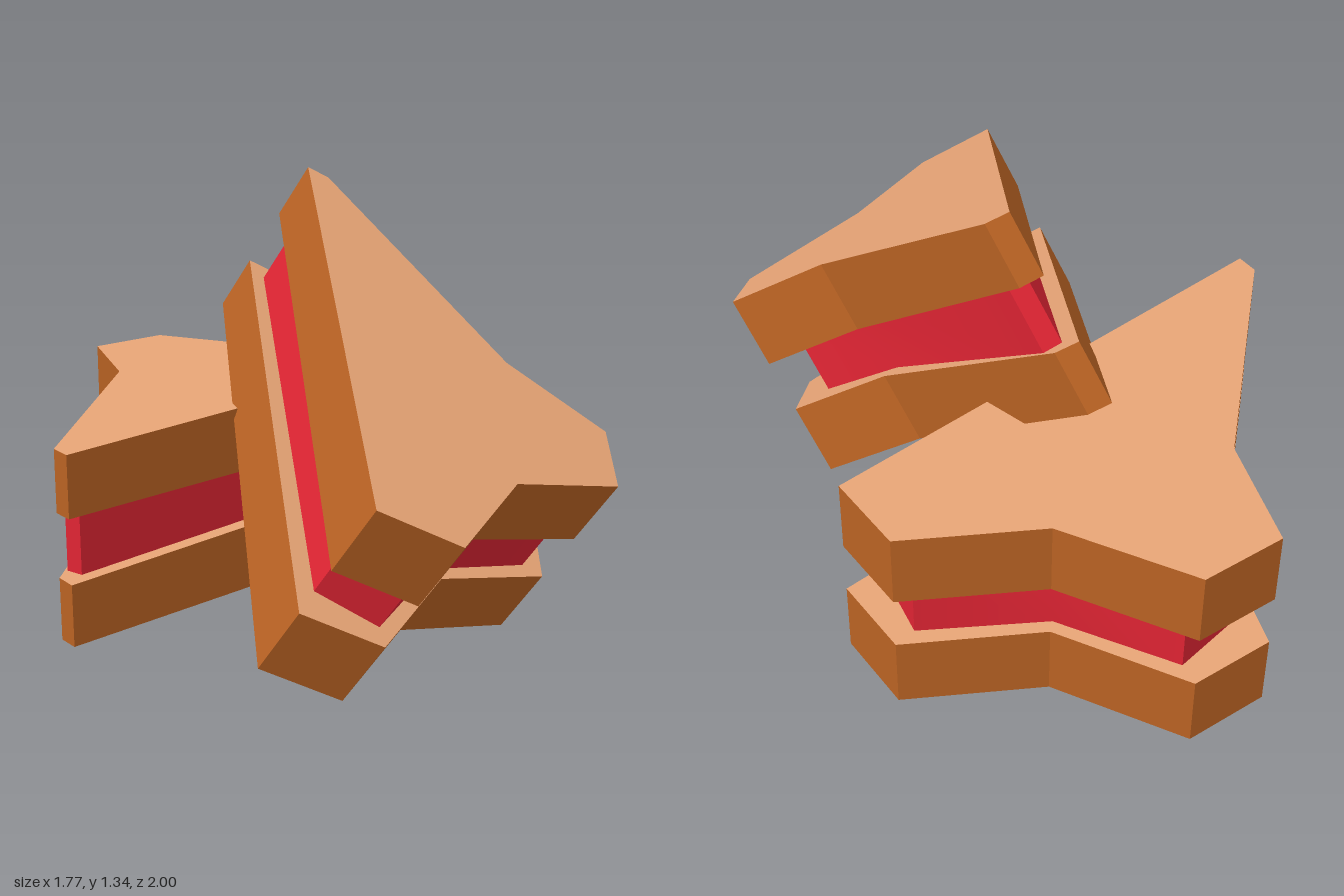
import * as THREE from 'three';
import { toCreasedNormals } from 'three/addons/utils/BufferGeometryUtils.js';

const crumb = new THREE.MeshStandardMaterial({ color: 0xe8a576 });
const crust = new THREE.MeshStandardMaterial({ color: 0xb9612a });
const jam = new THREE.MeshStandardMaterial({ color: 0xdf2433 });
crust.color.set(0xb96223);

// Outlines as [x, z]: half a slice, cut along the diagonal
const breadOutline = [
  [-0.89, -0.815], [-0.70, -1.0], [-0.285, -0.88], [0.13, -1.0],
  [0.315, -0.815], [-0.70, 0.445], [-0.75, 0.39], [-0.74, -0.48],
];
const jamOutline = [
  [-0.775, -0.77], [-0.66, -0.94], [-0.285, -0.84], [0.09, -0.94],
  [0.205, -0.77], [-0.69, 0.36], [-0.74, 0.33], [-0.69, -0.47],
];

// Horizontal slab with the given outline, from height y0 to y1
function slab(outline, y0, y1) {
  const shape = new THREE.Shape(outline.map(([x, z]) => new THREE.Vector2(x, -z)));
  const geo = new THREE.ExtrudeGeometry(shape, { depth: y1 - y0, bevelEnabled: false });
  return geo.rotateX(-Math.PI / 2).translate(0, y0, 0);
}

// Bread slice whose underside rises slightly towards the tip
function breadSlice(y0, y1) {
  const geo = slab(breadOutline, y0, y1);
  const p = geo.attributes.position;
  for (let i = 0; i < p.count; i++) {
    if (p.getY(i) < (y0 + y1) / 2) {
      p.setY(i, y0 + 0.035 * Math.max(0, (p.getZ(i) + 0.48) / 0.925));
    }
  }
  geo.computeVertexNormals();
  return new THREE.Mesh(geo, [crumb, crust]);
}

function sandwichHalf(name) {
  const half = new THREE.Group();
  half.name = name;
  const bottom = breadSlice(0, 0.23);
  bottom.name = 'bottomSlice';
  const filling = new THREE.Mesh(toCreasedNormals(slab(jamOutline, 0.22, 0.45), 0.7), jam);
  filling.name = 'jamFilling';
  const top = breadSlice(0.4, 0.63);
  top.name = 'topSlice';
  half.add(bottom, filling, top);
  return half;
}

export function createModel() {
  const model = new THREE.Group();
  model.name = 'sandwich';

  const flat = sandwichHalf('flatHalf');

  // Second half, turned round and leaning on the first
  const leaning = sandwichHalf('leaningHalf');
  const turn = new THREE.Matrix4().makeBasis(
    new THREE.Vector3(-0.524, 0.0715, 0.847),
    new THREE.Vector3(0.516, 0.819, 0.25),
    new THREE.Vector3(-0.676, 0.5685, -0.4665),
  );
  leaning.quaternion.setFromRotationMatrix(turn);
  leaning.position.set(-0.486, 0.6145, 0.1955);

  model.add(flat, leaning);
  return model;
}
